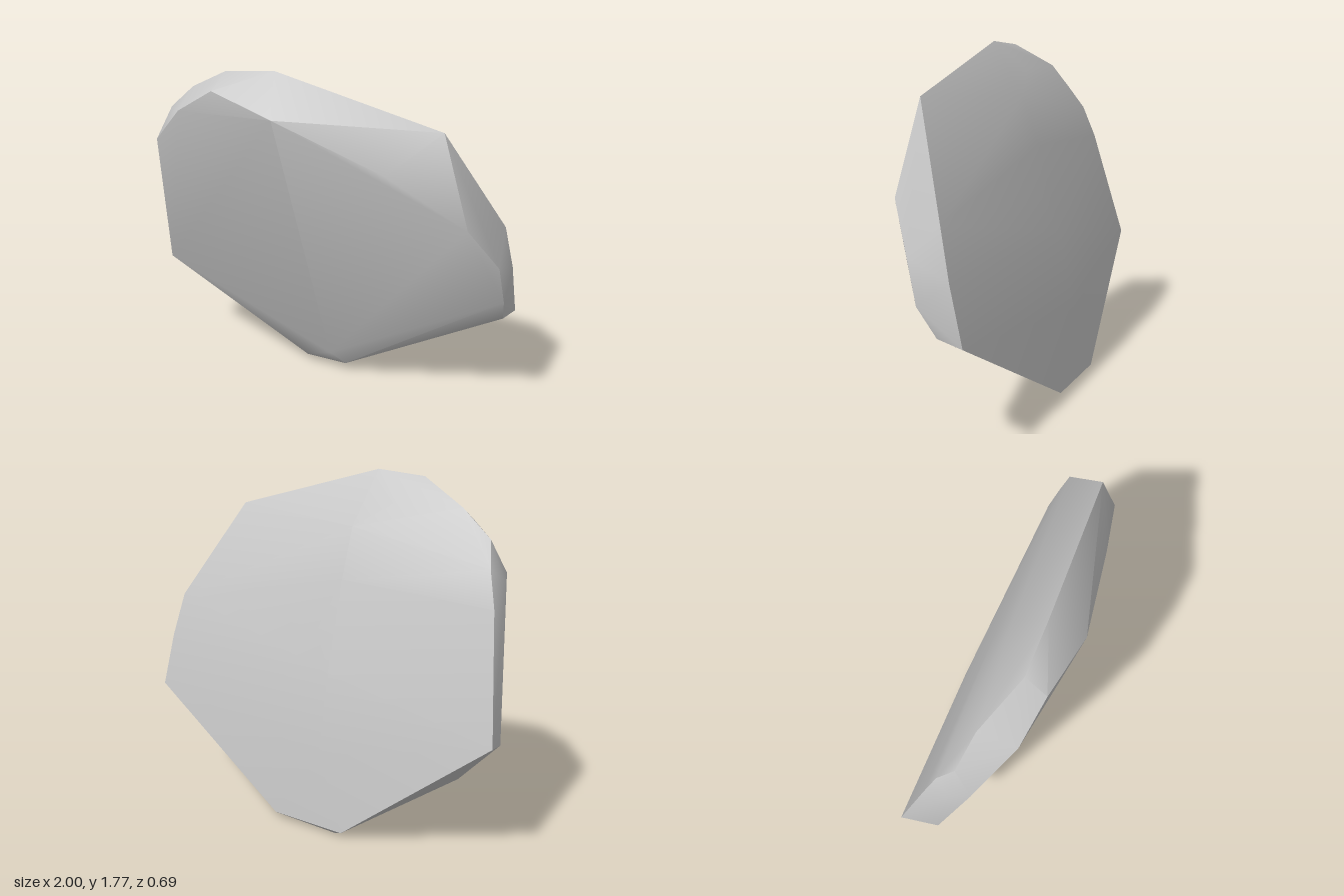
import * as THREE from 'three';
import { ConvexGeometry } from 'three/addons/geometries/ConvexGeometry.js';
import { toCreasedNormals } from 'three/addons/utils/BufferGeometryUtils.js';

// Outer rim of the slab, clockwise from the left shoulder
const rim = [
  [-0.9, 1.31, 0.03], [-0.82, 1.49, 0.035], [-0.66, 1.62, 0.07], [-0.4, 1.745, 0.18],
  [-0.14, 1.77, 0.18], [0.68, 1.56, 0.13], [0.94, 1.06, -0.11], [0.98, 0.83, -0.17],
  [1, 0.56, -0.24], [0.15, 0.03, -0.335], [-0.2, 0, -0.31], [-0.26, 0.03, -0.345],
  [-0.8, 0.39, -0.17], [-1, 0.61, -0.255],
];

// Edge of the broad, leaning front face
const frontEdge = [
  [-0.87, 1.33, 0.12], [-0.64, 1.54, 0.25], [-0.42, 1.67, 0.29], [-0.08, 1.58, 0.34],
  [0.45, 1.36, 0.255], [0.83, 1.13, 0.18], [0.96, 0.91, 0.045], [0.985, 0.71, -0.01],
  [0.97, 0.575, -0.1], [0.1, 0.055, -0.16], [0.03, 0.14, -0.1], [-0.14, 0.05, -0.17],
  [-0.96, 0.56, -0.07],
];

// Gentle bulge of the back face
const backBulge = [
  [-0.86, 1.37, -0.045], [-0.91, 1.2, -0.1], [-0.3, 1.62, 0.065], [-0.1, 1.5, 0],
  [-0.1, 1.25, -0.092], [0, 1, -0.162], [-0.1, 0.8, -0.22], [-0.1, 0.4, -0.3],
];

export function createModel() {
  const model = new THREE.Group();
  model.name = 'rock';

  const stone = new THREE.MeshStandardMaterial({ color: 0xc6c6c6 });
  stone.name = 'pale grey stone';

  // Convex slab: soft across shallow bends, sharp at chipped edges
  const points = [...rim, ...frontEdge, ...backBulge].map((p) => new THREE.Vector3(...p));
  const slab = new THREE.Mesh(toCreasedNormals(new ConvexGeometry(points), 0.66), stone);
  slab.name = 'stoneSlab';
  model.add(slab);
  return model;
}
